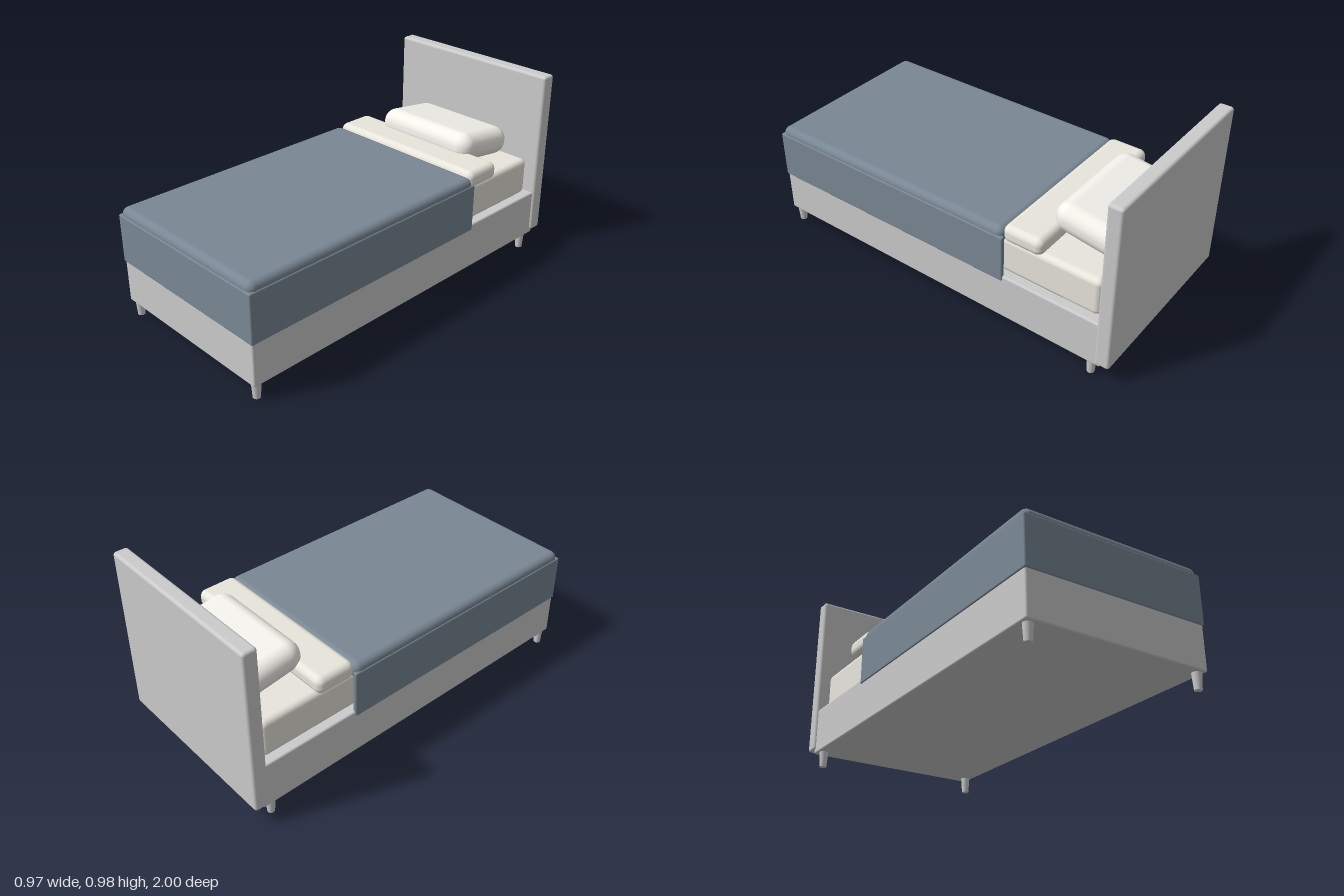
import * as THREE from 'three';
import { RoundedBoxGeometry } from 'three/addons/geometries/RoundedBoxGeometry.js';

const material = (color) => new THREE.MeshStandardMaterial({ color });

export function createModel() {
  const bed = new THREE.Group();
  bed.name = 'bed';
  const frame = material(0xcccccc);
  const blanket = material(0x7a8895);
  const linen = material(0xe9e6dd);
  const pillowLinen = material(0xf3f1ea);

  // Rounded box given by its limits on each axis
  function block(name, [x0, x1], [y0, y1], [z0, z1], radius, mat) {
    const geometry = new RoundedBoxGeometry(x1 - x0, y1 - y0, z1 - z0, 5, radius);
    const mesh = new THREE.Mesh(geometry, mat);
    mesh.name = name;
    mesh.position.set((x0 + x1) / 2, (y0 + y1) / 2, (z0 + z1) / 2);
    bed.add(mesh);
    return mesh;
  }

  // Frame
  block('headboard', [-0.485, 0.485], [0.1, 0.975], [-1, -0.925], 0.015, frame);
  block('base', [-0.473, 0.473], [0.08, 0.325], [-0.95, 0.995], 0.01, frame);

  // Tapered legs
  const legGeometry = new THREE.CylinderGeometry(0.024, 0.018, 0.09, 24);
  for (const x of [-0.44, 0.44]) {
    for (const z of [-0.89, 0.96]) {
      const leg = new THREE.Mesh(legGeometry, frame);
      leg.name = 'leg';
      leg.position.set(x, 0.045, z);
      bed.add(leg);
    }
  }

  // Mattress
  block('mattress', [-0.436, 0.436], [0.322, 0.52], [-0.905, 0.965], 0.03, linen);

  // Blanket: top sheet with hanging sides and foot
  block('blanketTop', [-0.473, 0.473], [0.5, 0.585], [-0.41, 0.995], 0.035, blanket);
  block('blanketLeft', [0.455, 0.478], [0.297, 0.547], [-0.415, 0.998], 0.008, blanket);
  block('blanketRight', [-0.478, -0.455], [0.297, 0.547], [-0.415, 0.998], 0.008, blanket);
  block('blanketFoot', [-0.478, 0.478], [0.297, 0.547], [0.976, 1], 0.008, blanket);

  // Turned-down sheet
  block('sheetFold', [-0.46, 0.46], [0.513, 0.603], [-0.61, -0.4], 0.035, linen);

  // Pillow, raised where it rests on the fold
  const pillow = block('pillow', [-0.3, 0.3], [0.523, 0.673], [-0.925, -0.545], 0.07, pillowLinen);
  pillow.rotation.x = -0.14;

  return bed;
}
